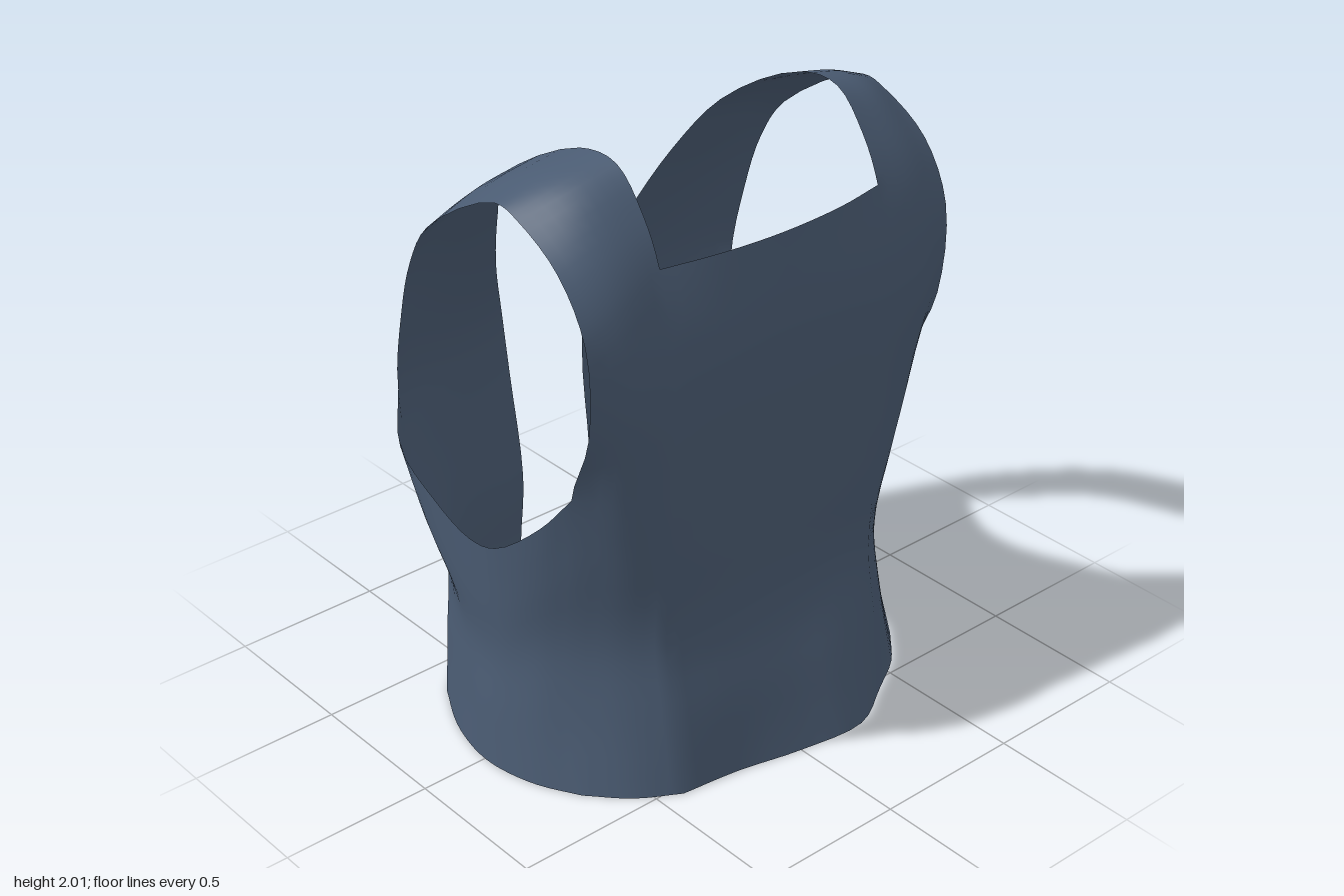
import * as THREE from 'three';
import { mergeGeometries, mergeVertices } from 'three/addons/utils/BufferGeometryUtils.js';

const K = 4; // subdivisions between neighbouring stations
const smooth = (pts) =>
  new THREE.CatmullRomCurve3(pts, false, 'centripetal').getPoints(K * (pts.length - 1));
const rail = (pts) => smooth(pts.map((p) => new THREE.Vector3(...p)));
const flip = (r) => r.map((p) => new THREE.Vector3(-p.x, p.y, p.z));

// Cloth patch lofted across a row of rails with equal sample counts
function patch(rails, mirrored = false) {
  const rows = rails[0].map((_, j) => smooth(rails.map((r) => r[j])));
  const n = rows[0].length;
  const pos = [], idx = [];
  for (const row of rows) for (const p of row) pos.push(mirrored ? -p.x : p.x, p.y, p.z);
  for (let j = 0; j < rows.length - 1; j++) {
    for (let i = 0; i < n - 1; i++) {
      const a = j * n + i, b = a + 1, d = a + n, c = d + 1;
      if (mirrored) idx.push(a, c, b, a, d, c);
      else idx.push(a, b, c, a, c, d);
    }
  }
  const g = new THREE.BufferGeometry();
  g.setAttribute('position', new THREE.Float32BufferAttribute(pos, 3));
  g.setIndex(idx);
  return g;
}

export function createModel() {
  const cloth = new THREE.MeshStandardMaterial({ color: 0x4a5b72 });
  cloth.name = 'slate blue cloth';
  cloth.side = THREE.DoubleSide;

  // Long rails: front hem, over the shoulder, down to the back hem
  const inner = rail([
    [.42, 0, .535], [.42, .25, .495], [.42, .5, .455], [.42, .8, .475], [.42, 1.05, .49],
    [.42, 1.45, .495], [.42, 1.74, .43], [.42, 1.88, .36], [.42, 1.995, .25], [.42, 1.99, .09],
    [.42, 1.79, -.26], [.345, 1.6, -.4], [.26, 1.34, -.535], [.18, 1.1, -.62], [.15, .87, -.63],
    [.14, .5, -.59], [.15, .25, -.6], [.15, 0, -.61],
  ]);
  const middle = rail([
    [.55, 0, .455], [.54, .25, .4], [.53, .5, .37], [.54, .8, .42], [.57, 1.05, .45],
    [.57, 1.38, .49], [.57, 1.67, .45], [.57, 1.84, .36], [.57, 1.95, .23], [.57, 1.95, .07],
    [.57, 1.76, -.26], [.54, 1.58, -.385], [.49, 1.36, -.495], [.44, 1.08, -.58], [.42, .83, -.58],
    [.4, .5, -.55], [.4, .25, -.56], [.4, 0, -.57],
  ]);
  const outer = rail([
    [.66, 0, .34], [.63, .25, .29], [.62, .5, .265], [.64, .8, .32], [.68, 1.06, .345],
    [.69, 1.3, .44], [.7, 1.6, .445], [.705, 1.78, .34], [.705, 1.88, .17], [.705, 1.9, .07],
    [.7, 1.7, -.27], [.695, 1.55, -.37], [.69, 1.36, -.435], [.68, 1.07, -.49], [.66, .8, -.44],
    [.62, .5, -.365], [.63, .25, -.365], [.645, 0, -.365],
  ]);

  // Front panel up to the square neckline; the hem flares a little more on one side
  const heights = [0, .25, .5, .8, 1.05, 1.45, 1.74];
  const frontRail = (x, zs) => rail(zs.map((z, i) => [x, heights[i], z]));
  const frontEdge = inner.slice(0, 6 * K + 1);
  const front = patch([
    flip(frontEdge),
    frontRail(-.22, [.56, .53, .485, .495, .505, .515, .465]),
    frontRail(0, [.61, .555, .495, .5, .51, .52, .48]),
    frontRail(.24, [.633, .56, .485, .495, .505, .515, .465]),
    frontEdge,
  ]);

  // Side panels from hem to the scooped armhole, as [x, z] stations at equal height steps
  const sideRail = (top, pts) => rail(pts.map(([x, z], i) => [x, (top * i) / 4, z]));
  const side = [
    outer.slice(0, 4 * K + 1),
    sideRail(.93, [[.73, .21], [.7, .19], [.68, .17], [.695, .2], [.715, .24]]),
    sideRail(.79, [[.765, .08], [.74, .08], [.72, .06], [.73, .06], [.745, .06]]),
    sideRail(.77, [[.77, -.01], [.75, -.01], [.727, -.03], [.74, -.05], [.75, -.06]]),
    sideRail(.83, [[.755, -.11], [.735, -.11], [.718, -.13], [.74, -.18], [.755, -.22]]),
    sideRail(.95, [[.72, -.22], [.7, -.22], [.69, -.23], [.73, -.31], [.76, -.38]]),
    outer.slice(13 * K).reverse(),
  ];

  // Mirror the straps and sides, then weld into one smooth shell
  const parts = [front];
  for (const mirrored of [false, true]) {
    parts.push(patch([inner, middle, outer], mirrored), patch(side, mirrored));
  }
  const geometry = mergeVertices(mergeGeometries(parts), 1e-3);
  geometry.computeVertexNormals();

  const vest = new THREE.Mesh(geometry, cloth);
  vest.name = 'openBackVest';
  const group = new THREE.Group();
  group.name = 'vest';
  group.add(vest);
  return group;
}
